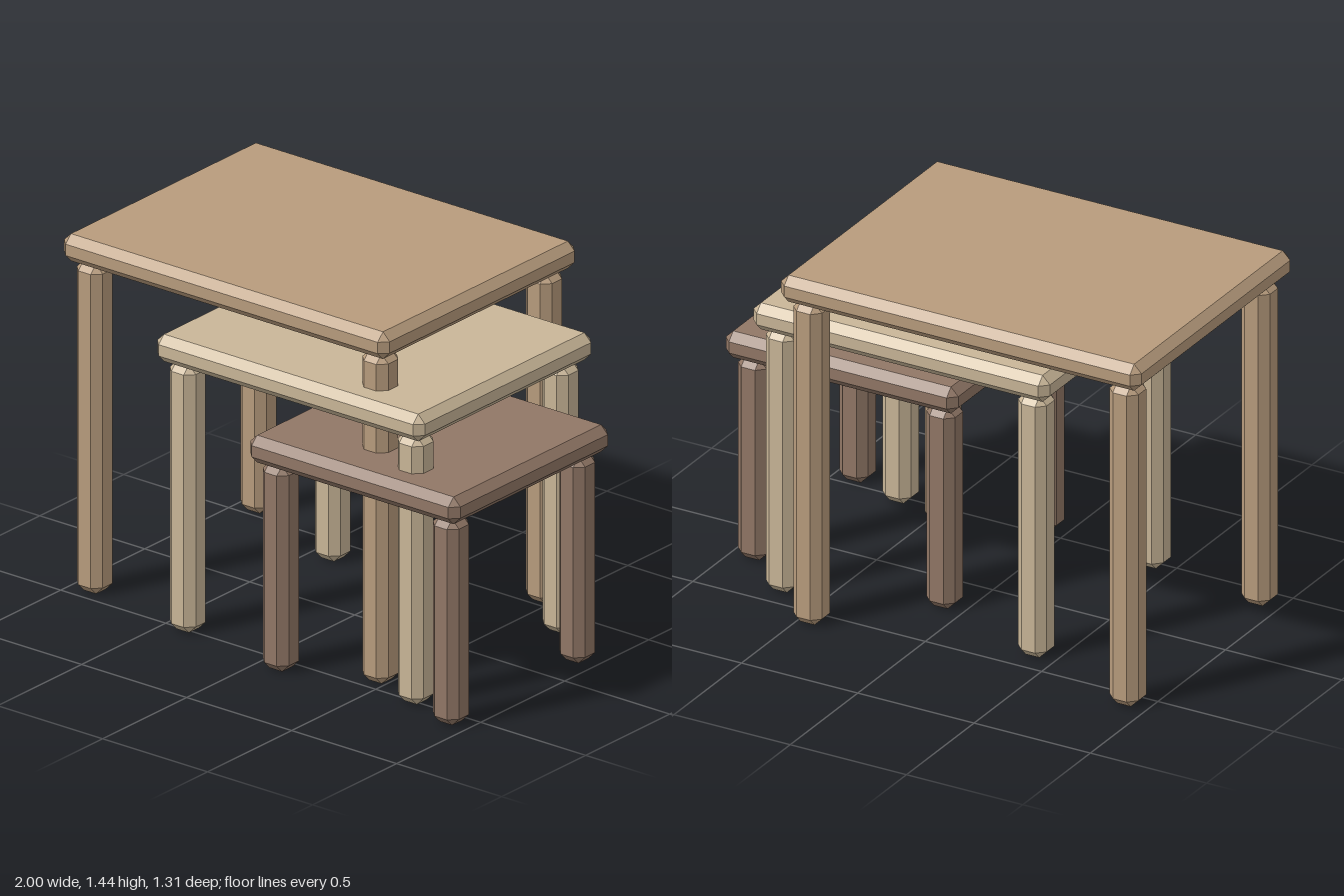
import * as THREE from 'three';
import { ConvexGeometry } from 'three/addons/geometries/ConvexGeometry.js';

const BEVEL = 0.032;
const TOP_THICKNESS = 0.11;
const LEG_WIDTH = 0.123;
const LEG_INSET = 0.095; // from the top's edge to a leg's centre line

// Box with every edge and corner cut off flat
function chamferedBox(w, h, d, b = BEVEL) {
  const points = [];
  for (const sx of [-1, 1]) for (const sy of [-1, 1]) for (const sz of [-1, 1]) {
    const x = w / 2, y = h / 2, z = d / 2;
    points.push(
      new THREE.Vector3(sx * x, sy * (y - b), sz * (z - b)),
      new THREE.Vector3(sx * (x - b), sy * y, sz * (z - b)),
      new THREE.Vector3(sx * (x - b), sy * (y - b), sz * z)
    );
  }
  return new ConvexGeometry(points);
}

// One table, given by the extents of its top and its full height
function table({ name, color, x0, x1, z0, z1, height }) {
  const group = new THREE.Group();
  group.name = name;
  const material = new THREE.MeshStandardMaterial({ color, flatShading: true });
  const add = (part, geometry, x, y, z) => {
    const mesh = new THREE.Mesh(geometry, material);
    mesh.name = part;
    mesh.position.set(x, y, z);
    group.add(mesh);
  };

  const top = chamferedBox(x1 - x0, TOP_THICKNESS, z1 - z0);
  add('tableTop', top, (x0 + x1) / 2, height - TOP_THICKNESS / 2, (z0 + z1) / 2);

  const legHeight = height - TOP_THICKNESS;
  const leg = chamferedBox(LEG_WIDTH, legHeight, LEG_WIDTH);
  for (const [side, x] of [['Right', x0 + LEG_INSET], ['Left', x1 - LEG_INSET]]) {
    add(`back${side}Leg`, leg, x, legHeight / 2, z0 + LEG_INSET);
    add(`front${side}Leg`, leg, x, legHeight / 2, z1 - LEG_INSET);
  }
  return group;
}

export function createModel() {
  const model = new THREE.Group();
  model.name = 'nestingTables';
  model.add(
    table({ name: 'largeTable', color: 0xb89c7d, x0: -1, x1: 0.55, z0: -0.653, z1: 0.511, height: 1.443 }),
    table({ name: 'mediumTable', color: 0xc9b698, x0: -0.5, x1: 0.775, z0: -0.47, z1: 0.582, height: 1.194 }),
    table({ name: 'smallTable', color: 0x917766, x0: 0, x1: 1, z0: -0.288, z1: 0.653, height: 0.943 })
  );
  return model;
}
